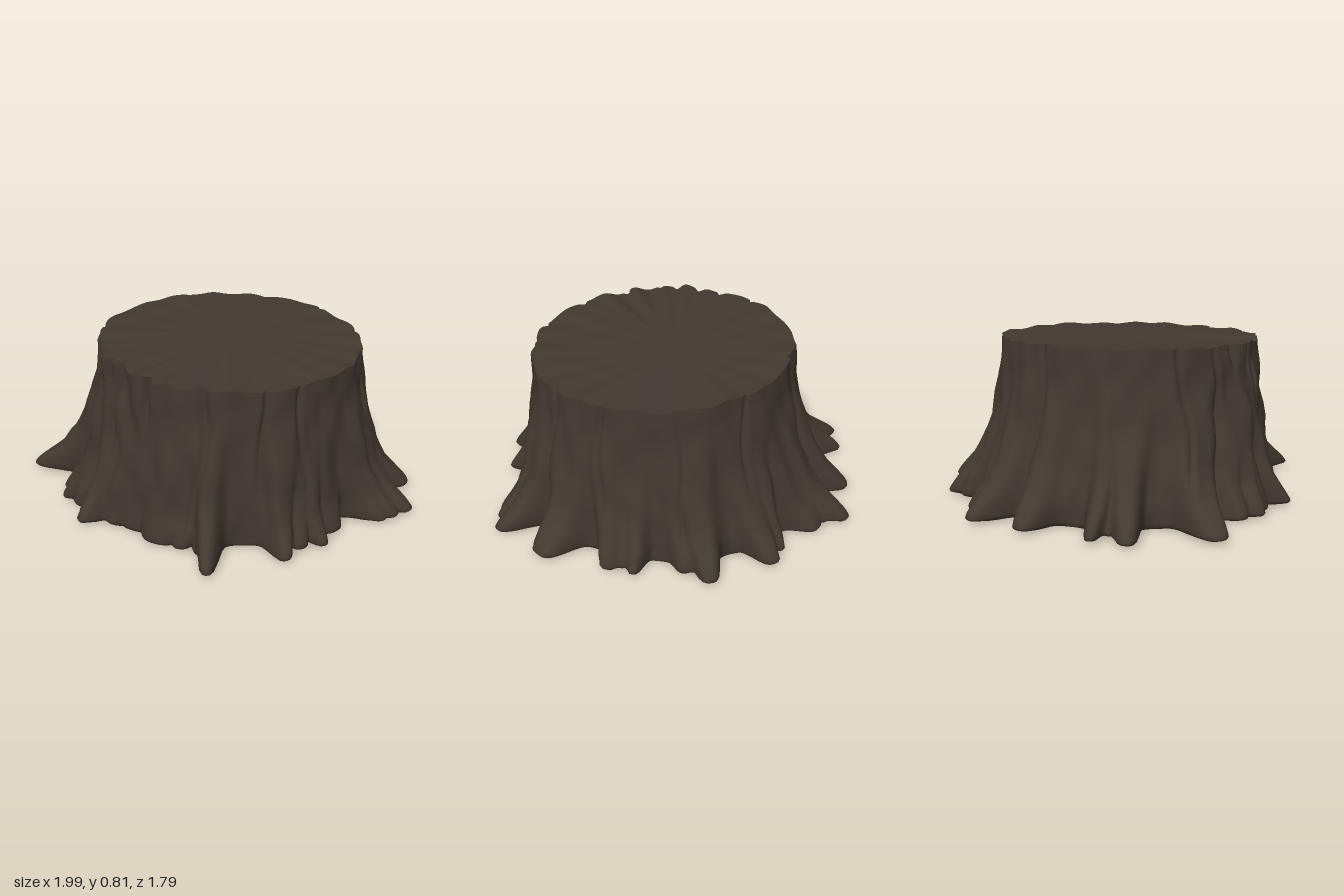
import * as THREE from 'three';

const SEGMENTS = 360;
const LEVELS = [0, 0.006, 0.015, 0.025, 0.04, 0.06, 0.08, 0.1, 0.125, 0.15, 0.18, 0.21, 0.25, 0.3, 0.36, 0.42, 0.48, 0.54, 0.6, 0.65, 0.69, 0.72, 0.75, 0.775, 0.785];
const TOP = 0.785;

// Root tips near the ground: x, z, half width
const ROOTS = [
  [0.995, -0.135, 0.075], [0.955, -0.05, 0.07], [0.92, 0.01, 0.07], [0.86, -0.4, 0.105], [0.59, -0.62, 0.06],
  [0.53, -0.63, 0.06], [0.49, -0.7, 0.045], [0.17, -0.89, 0.07], [0.25, -0.78, 0.06], [-0.165, -0.885, 0.07],
  [-0.24, -0.8, 0.045], [-0.66, -0.7, 0.075], [-0.57, -0.67, 0.08], [-0.48, -0.72, 0.08], [-0.795, -0.45, 0.08],
  [-0.935, -0.125, 0.05], [-0.87, -0.03, 0.06], [-0.995, 0.04, 0.07], [-0.92, 0.45, 0.095], [-0.61, 0.58, 0.055],
  [-0.54, 0.66, 0.05], [-0.45, 0.69, 0.06], [-0.325, 0.825, 0.055], [-0.2, 0.755, 0.06], [-0.08, 0.74, 0.06],
  [0.1, 0.78, 0.1], [0.23, 0.765, 0.05], [0.35, 0.76, 0.06], [0.455, 0.885, 0.055], [0.69, 0.59, 0.06],
  [0.71, 0.46, 0.06], [0.79, 0.385, 0.05], [0.77, 0.24, 0.08],
].map(([x, z, w]) => ({ angle: Math.atan2(z, x), reach: Math.hypot(x, z), width: w / Math.hypot(x, z) }));

// Bark cracks: angle, depth, half width, lowest height
const CRACKS = [
  [0.78, 0.025, 0.022, 0], [0.5, 0.02, 0.018, 0.25], [1.2, 0.025, 0.03, 0.1], [1.62, 0.04, 0.022, 0.6],
  [1.95, 0.025, 0.02, 0.3], [2.1, 0.045, 0.03, 0.66], [2.28, 0.04, 0.035, 0.7], [2.45, 0.03, 0.025, 0.05],
  [2.75, 0.02, 0.02, 0.2], [-2.5, 0.015, 0.02, 0.2], [-1.8, 0.015, 0.016, 0.3], [-1.3, 0.015, 0.018, 0.15],
  [-0.75, 0.02, 0.02, 0.3], [-0.3, 0.015, 0.018, 0.35],
];

const TRUNK = [[0, 0.715], [0.1, 0.715], [0.25, 0.695], [0.45, 0.67], [0.65, 0.65], [0.8, 0.645]];
// Root reach by height: tucked under at the ground, rounded at the tip
const FLARE = [[0, 0.35], [0.006, 0.75], [0.015, 0.97], [0.025, 1], [0.04, 0.96], [0.06, 0.89], [0.1, 0.72],
  [0.15, 0.53], [0.25, 0.33], [0.4, 0.18], [0.6, 0.05], [0.785, 0]];
// Lean of the trunk away from the root centre
const LEAN = [[0, 0], [0.1, 0.1], [0.4, 0.85], [0.785, 1]];

function sample(table, y) {
  for (let i = 1; i < table.length; i++) {
    const [y0, v0] = table[i - 1], [y1, v1] = table[i];
    if (y <= y1) return THREE.MathUtils.lerp(v0, v1, (y - y0) / (y1 - y0));
  }
  return table[table.length - 1][1];
}

const angleGap = (a, b) => Math.atan2(Math.sin(a - b), Math.cos(a - b));
const frontLeft = (a) => Math.exp(-Math.pow(angleGap(a, 2.1) / 0.5, 2));

function radiusAt(a, y) {
  // Blunt roots with a wide skirt, fading into the trunk as they climb
  let root = 0;
  for (const { angle, reach, width } of ROOTS) {
    const bend = 0.06 * Math.sin(angle * 7) * Math.min(y / 0.4, 1);
    const d = Math.abs(angleGap(a, angle + bend)) / (width * (1 + 2 * y));
    const shape = 0.78 * Math.exp(-Math.pow(d, 3.6)) + 0.22 * Math.exp(-d * d / 3.5);
    root = Math.max(root, (reach - 0.715) * shape);
  }
  // Long vertical ridges and knots, rougher on one side
  const rough = 1 + 0.9 * frontLeft(a);
  const ridges = 0.008 * Math.sin(9 * a + 1 + 0.8 * Math.sin(4 * y))
    + 0.006 * Math.sin(17 * a + 2 + 1.5 * y + Math.sin(5 * a))
    + 0.004 * Math.sin(31 * a + 3 * Math.sin(5 * y) + 2 * Math.sin(3 * a));
  const knots = 0.008 * Math.sin(13 * a + 2 + Math.sin(9 * y)) * Math.sin(18 * y + 4 * Math.sin(2 * a));
  const fade = (0.3 + 0.7 * Math.min(y / 0.2, 1)) * (1 - 0.5 * THREE.MathUtils.smoothstep(y, 0.55, TOP));
  let r = sample(TRUNK, y) + root * sample(FLARE, y) + (ridges + knots) * rough * fade;
  for (const [angle, depth, width, low] of CRACKS) {
    const d = angleGap(a, angle + 0.025 * Math.sin(9 * y + angle * 5)) / width;
    r -= depth * Math.exp(-d * d) * THREE.MathUtils.smoothstep(y, low - 0.05, low + 0.06);
  }
  return r;
}

// Uneven saw cut, highest on one side and splintered at the front
function cutHeight(a) {
  return -0.02 * Math.cos(a) - 0.006 * Math.sin(a)
    + 0.003 * Math.sin(7 * a) + 0.004 * Math.sin(19 * a + 1 + Math.sin(3 * a))
    + 0.01 * frontLeft(a + 0.3) * Math.sin(27 * a);
}

function surfacePoint(j, y) {
  const a = (j / SEGMENTS) * Math.PI * 2;
  const r = radiusAt(a, y), t = y / TOP, lean = sample(LEAN, y);
  return [0.045 * lean + r * Math.cos(a), y + cutHeight(a) * t * t, 0.03 * lean + r * Math.sin(a)];
}

function toGeometry(positions, indices) {
  const geometry = new THREE.BufferGeometry();
  geometry.setAttribute('position', new THREE.Float32BufferAttribute(positions, 3));
  geometry.setIndex(indices);
  geometry.computeVertexNormals();
  return geometry;
}

function barkGeometry() {
  const positions = [], indices = [];
  LEVELS.forEach((y, i) => {
    for (let j = 0; j < SEGMENTS; j++) {
      positions.push(...surfacePoint(j, y));
      if (i === 0) continue;
      const k = (j + 1) % SEGMENTS, below = (i - 1) * SEGMENTS, above = i * SEGMENTS;
      indices.push(below + j, above + j, below + k, below + k, above + j, above + k);
    }
  });
  return toGeometry(positions, indices);
}

// Fan from a centre point out to the rim at the given height
function capGeometry(y, centre, up) {
  const positions = [...centre], indices = [];
  for (let j = 0; j < SEGMENTS; j++) {
    positions.push(...surfacePoint(j, y));
    const a = j + 1, b = ((j + 1) % SEGMENTS) + 1;
    indices.push(0, up ? b : a, up ? a : b);
  }
  return toGeometry(positions, indices);
}

export function createModel() {
  const wood = new THREE.MeshStandardMaterial({ color: 0x423930 });
  wood.name = 'dark brown wood';
  const stump = new THREE.Group();
  stump.name = 'treeStump';
  const add = (name, geometry) => {
    const mesh = new THREE.Mesh(geometry, wood);
    mesh.name = name;
    stump.add(mesh);
  };
  add('barkAndRoots', barkGeometry());
  add('cutTop', capGeometry(TOP, [0.0, 0.78, -0.05], true));
  add('underside', capGeometry(0, [0, 0, 0], false));
  return stump;
}
